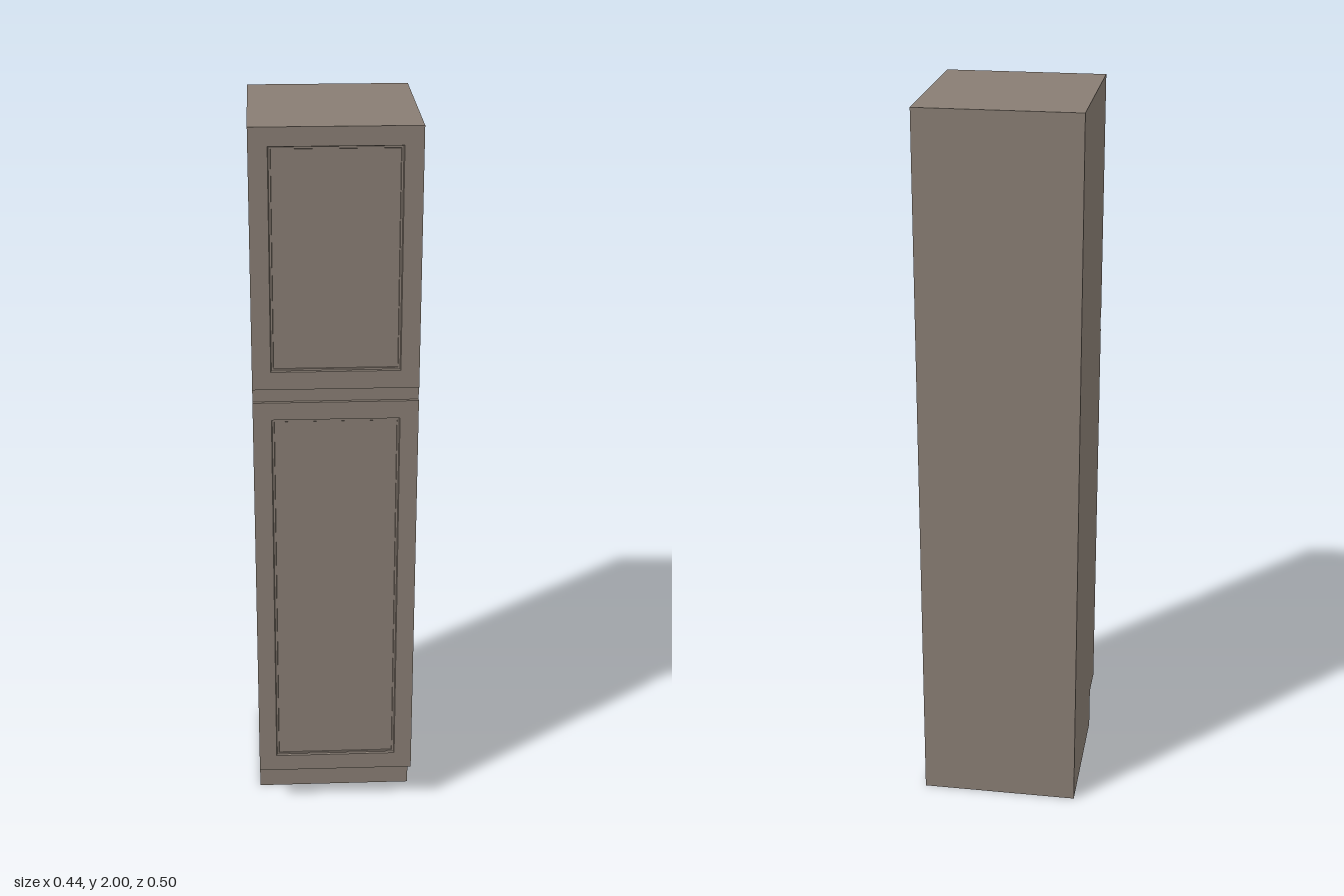
import * as THREE from 'three';

const W = 0.438, BACK = -0.25, BODY_FRONT = 0.24, FRONT = 0.25;
const KICK_Z = 0.153, KICK_Y = 0.12, TOP = 2;

// Door with a recessed panel, lofted through rectangular loops of [inset, z]
function doorGeometry(y0, y1) {
  const loops = [[0, BODY_FRONT], [0, FRONT], [0.049, FRONT], [0.051, 0.245], [0.056, 0.245], [0.057, 0.243]];
  const corners = loops.map(([i, z]) => {
    const x = W / 2 - i;
    return [[-x, y0 + i, z], [x, y0 + i, z], [x, y1 - i, z], [-x, y1 - i, z]];
  });
  const pos = [];
  const quad = (a, b, c, d) => pos.push(...a, ...b, ...c, ...a, ...c, ...d);
  for (let l = 0; l < corners.length - 1; l++) {
    for (let k = 0; k < 4; k++) {
      const n = (k + 1) % 4;
      quad(corners[l][k], corners[l][n], corners[l + 1][n], corners[l + 1][k]);
    }
  }
  quad(...corners[corners.length - 1]); // centre panel
  const g = new THREE.BufferGeometry();
  g.setAttribute('position', new THREE.Float32BufferAttribute(pos, 3));
  g.computeVertexNormals();
  return g;
}

export function createModel() {
  const group = new THREE.Group();
  group.name = 'tallCabinet';
  const material = new THREE.MeshStandardMaterial({ color: 0x887d73 });
  const add = (name, geometry) => {
    const mesh = new THREE.Mesh(geometry, material);
    mesh.name = name;
    group.add(mesh);
  };

  // Carcass: side profile with toe kick, extruded across the width
  const profile = new THREE.Shape([
    [-KICK_Z, 0], [-BACK, 0], [-BACK, TOP], [-BODY_FRONT, TOP], [-BODY_FRONT, KICK_Y], [-KICK_Z, KICK_Y],
  ].map(([u, v]) => new THREE.Vector2(u, v)));
  const body = new THREE.ExtrudeGeometry(profile, { depth: W, bevelEnabled: false });
  body.translate(0, 0, -W / 2).rotateY(Math.PI / 2);
  add('carcass', body);

  // Doors
  add('lowerDoor', doorGeometry(KICK_Y, 1.27));
  add('upperDoor', doorGeometry(1.307, TOP));
  return group;
}
